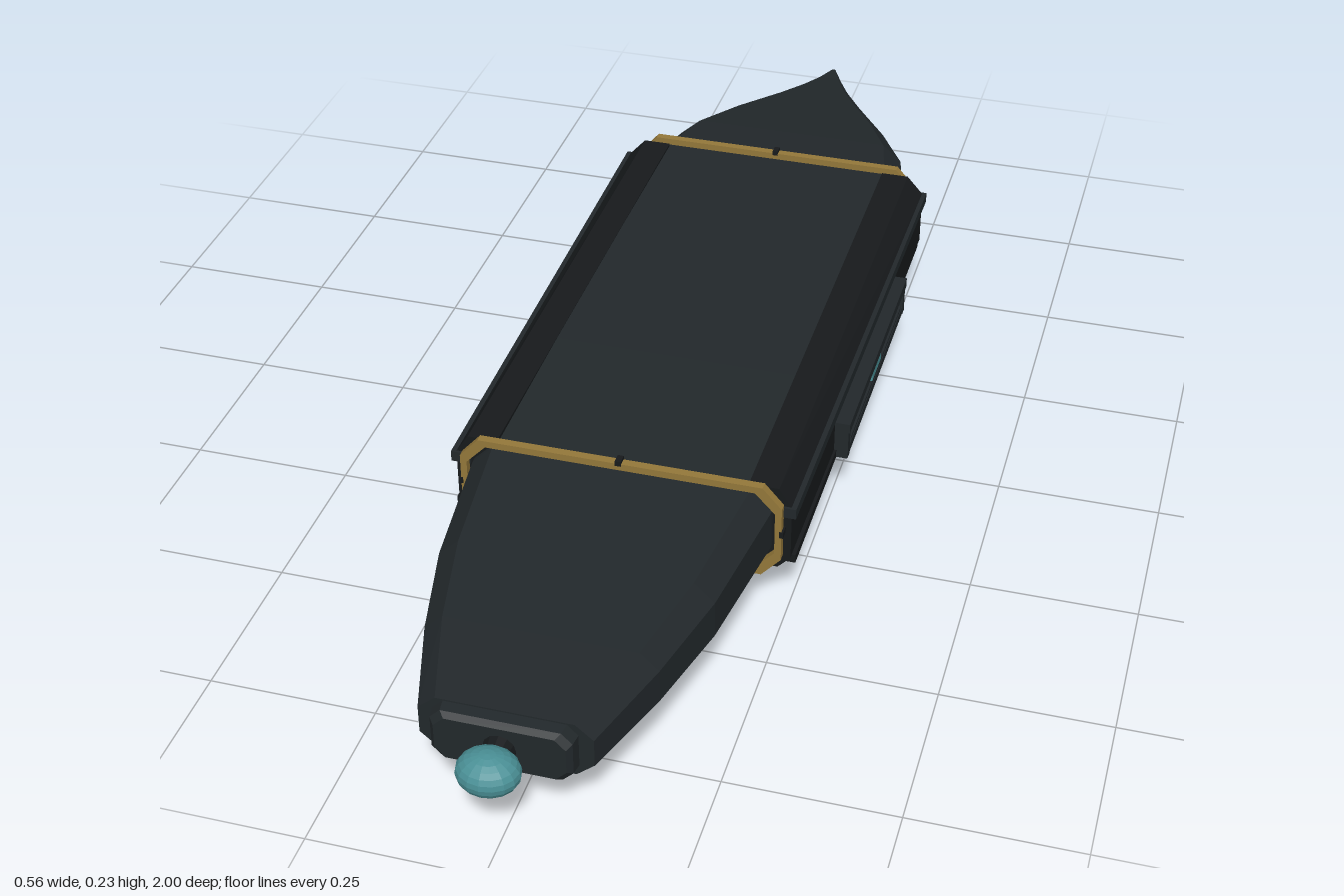
import * as THREE from 'three';

const mat = (color) => new THREE.MeshStandardMaterial({ color, flatShading: true });
const hullMat = mat(0x22282b);
const darkMat = mat(0x171a1c);
const goldMat = mat(0x94783a);
const glowMat = mat(0x4a9096);
const MID = 0.152;

// Chamfered rectangle, counter-clockwise seen from the front
function octagon(w, top, bottom, cx, cy) {
  return [[w, bottom + cy], [w, top - cy], [w - cx, top], [cx - w, top],
    [-w, top - cy], [-w, bottom + cy], [cx - w, bottom], [w - cx, bottom]];
}

// Skin through cross-sections ordered from front to back: { z, pts }
function loft(sections) {
  const pos = [];
  const put = (s, i) => pos.push(s.pts[i][0], s.pts[i][1], s.z);
  const n = sections[0].pts.length;
  for (let k = 0; k < sections.length - 1; k++) {
    const a = sections[k], b = sections[k + 1];
    for (let i = 0; i < n; i++) {
      const j = (i + 1) % n;
      put(a, i); put(b, i); put(a, j);
      put(a, j); put(b, i); put(b, j);
    }
  }
  const first = sections[0], last = sections[sections.length - 1];
  for (let i = 1; i < n - 1; i++) {
    put(first, 0); put(first, i); put(first, i + 1);
    put(last, 0); put(last, i + 1); put(last, i);
  }
  const g = new THREE.BufferGeometry();
  g.setAttribute('position', new THREE.Float32BufferAttribute(pos, 3));
  g.computeVertexNormals();
  return g;
}

function add(parent, name, geometry, material, x = 0, y = 0, z = 0) {
  const m = new THREE.Mesh(geometry, material);
  m.name = name;
  m.position.set(x, y, z);
  parent.add(m);
  return m;
}

const box = (w, h, d) => new THREE.BoxGeometry(w, h, d);
const shapeOf = (pts) => new THREE.Shape(pts.map(([x, y]) => new THREE.Vector2(x, y)));

export function createModel() {
  const model = new THREE.Group();
  model.name = 'ship';

  // Main hull: z, half width, half height, chamfer width
  const hull = [
    [0.895, 0.12, 0.043, 0.025], [0.75, 0.165, 0.052, 0.027], [0.6, 0.2, 0.058, 0.03],
    [0.39, 0.226, 0.064, 0.032], [0.1, 0.235, 0.069, 0.034], [-0.25, 0.235, 0.069, 0.034],
    [-0.54, 0.226, 0.066, 0.034], [-0.65, 0.2, 0.056, 0.032], [-0.75, 0.147, 0.041, 0.025],
    [-0.85, 0.082, 0.025, 0.016], [-0.91, 0.046, 0.016, 0.01], [-0.96, 0.022, 0.008, 0.005],
    [-1, 0.004, 0.005, 0.001],
  ].map(([z, w, h, c]) => ({ z, pts: octagon(w, MID + h, MID - h, c, h * 0.5) }));
  add(model, 'hull', loft(hull), hullMat);

  // Blunt nose plate and glowing nose lamp
  const nose = [[0.92, 0.09, 0.034], [0.912, 0.097, 0.04], [0.89, 0.1, 0.041]]
    .map(([z, w, h]) => ({ z, pts: octagon(w, MID + h, MID - h, 0.015, 0.015) }));
  add(model, 'nosePlate', loft(nose), hullMat);
  add(model, 'noseSocket', new THREE.CylinderGeometry(0.02, 0.024, 0.02, 12), darkMat, 0, MID, 0.925)
    .rotation.x = Math.PI / 2;
  add(model, 'noseLamp', new THREE.SphereGeometry(1, 16, 12), glowMat, 0, MID, 0.962)
    .scale.set(0.044, 0.03, 0.038);

  // Gold bands with dark studs
  for (const z of [0.39, -0.54]) {
    const band = new THREE.Group();
    band.name = z > 0 ? 'frontBand' : 'rearBand';
    band.position.z = z;
    const outline = shapeOf(octagon(0.243, 0.23, 0.073, 0.029, 0.033));
    outline.holes.push(shapeOf(octagon(0.233, 0.219, 0.084, 0.03, 0.032)));
    const g = new THREE.ExtrudeGeometry(outline, { depth: 0.013, bevelEnabled: false });
    add(band, 'bandRing', g.translate(0, 0, -0.0065), goldMat);
    for (const y of [0.231, 0.073]) add(band, 'stud', box(0.009, 0.008, 0.016), darkMat, 0, y);
    for (const x of [0.243, -0.243]) add(band, 'stud', box(0.006, 0.01, 0.016), darkMat, x, MID);
    model.add(band);
  }

  for (const s of [1, -1]) {
    const side = new THREE.Group();
    side.name = s > 0 ? 'leftSide' : 'rightSide';
    model.add(side);

    // Armour fairing between the bands, slightly wider at the back
    const section = (z, w) => {
      const pts = [[0.19, 0.08], [0.235, 0.08], [w, 0.1], [w, 0.192], [0.235, 0.222], [0.19, 0.222]]
        .map(([x, y]) => [x * s, y]);
      return { z, pts: s > 0 ? pts : pts.reverse() };
    };
    add(side, 'fairing', loft([section(0.381, 0.254), section(-0.531, 0.262)]), darkMat);

    // Upper and lower rails
    const rail = add(side, 'upperRail', box(0.03, 0.017, 0.92), hullMat, s * 0.25, 0.184, -0.075);
    rail.rotation.y = -s * 0.008;
    add(side, 'lowerRail', box(0.03, 0.014, 0.9), darkMat, s * 0.245, 0.095, -0.075);

    // Framed side bay with inner rods and a glowing window
    const bay = new THREE.Group();
    bay.name = 'sideBay';
    bay.position.set(s * 0.265, 0.121, -0.105);
    side.add(bay);
    add(bay, 'bayBack', box(0.014, 0.05, 0.42), darkMat);
    add(bay, 'frameTop', box(0.03, 0.016, 0.43), hullMat, 0, 0.024);
    add(bay, 'frameBottom', box(0.024, 0.014, 0.43), hullMat, 0, -0.025);
    for (const z of [0.208, -0.208]) add(bay, 'frameEnd', box(0.026, 0.062, 0.014), hullMat, 0, 0, z);
    for (const y of [0.01, -0.011]) add(bay, 'rod', box(0.008, 0.005, 0.38), hullMat, s * 0.008, y);
    add(bay, 'window', box(0.012, 0.022, 0.066), glowMat, s * 0.006, 0, 0.002);

    // Swept landing blade
    const blade = shapeOf([[0.353, 0.003], [0.335, 0.02], [0.2, 0.085], [0.06, 0.085],
      [0.085, 0.062], [0.2, 0.014], [0.22, 0.011], [0.225, 0.019]]);
    const g = new THREE.ExtrudeGeometry(blade, { depth: 0.018, bevelEnabled: false });
    g.translate(0, 0, -0.009).rotateY(-Math.PI / 2);
    add(side, 'landingBlade', g, hullMat, s * 0.106);
    add(side, 'bladeFoot', box(0.018, 0.006, 0.02), hullMat, s * 0.106, 0.003, 0.34);
  }

  // Round hatch ring under the belly with a recessed plate
  const ring = [[0.12, 0.085], [0.12, 0.06], [0.125, 0.056], [0.14, 0.056], [0.146, 0.06], [0.146, 0.075], [0.135, 0.085]]
    .map(([r, y]) => new THREE.Vector2(r, y));
  add(model, 'hatchRing', new THREE.LatheGeometry(ring, 24), hullMat, 0, 0, -0.065);
  add(model, 'hatchPlate', new THREE.CylinderGeometry(0.122, 0.122, 0.02, 24), darkMat, 0, 0.079, -0.065);

  return model;
}
